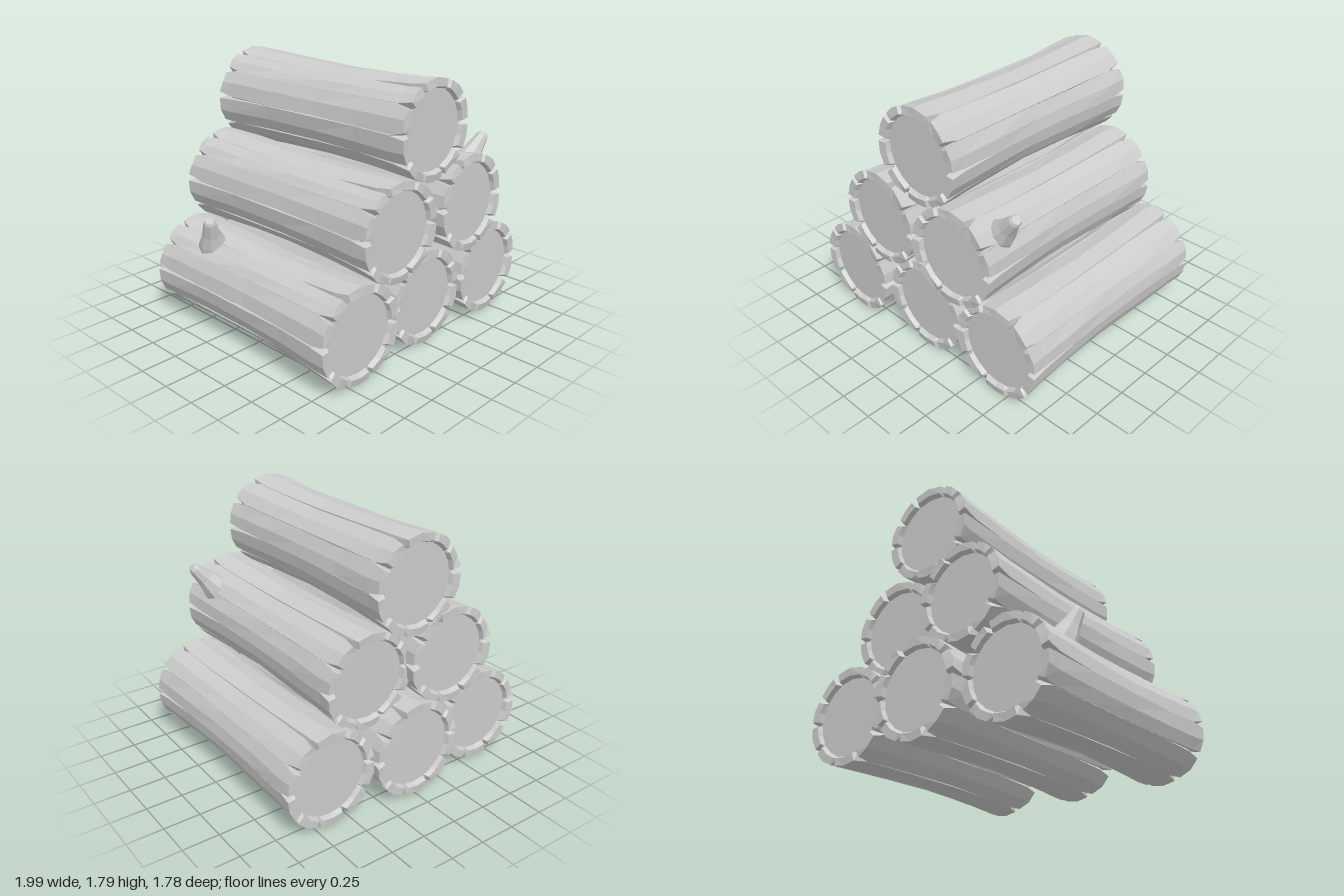
import * as THREE from 'three';

const material = new THREE.MeshStandardMaterial({ color: 0xcccccc, flatShading: true });
const PLATES = 10; // bark plates round each log, one split between neighbours
const SPLITS = [0, 33, 66, 113, 142, 175, 212, 250, 288, 325].map(THREE.MathUtils.degToRad);

// repeatable small variation, -1..1
const vary = (a, b) => {
  const s = Math.sin(a * 12.99 + b * 78.23) * 43758.55;
  return (s - Math.floor(s)) * 2 - 1;
};

// Columns round the log: split floor, lip, plate middle, lip
function columns() {
  const cols = [];
  for (let n = 0; n < PLATES; n++) {
    const a = SPLITS[n];
    const next = n + 1 < PLATES ? SPLITS[n + 1] : SPLITS[0] + Math.PI * 2;
    cols.push({ a, n, kind: 'floor', side: 0 });
    cols.push({ a, n, kind: 'lip', side: 1 });
    cols.push({ a: (a + next) / 2, n, kind: 'middle', side: 0 });
    cols.push({ a: next, n: (n + 1) % PLATES, kind: 'lip', side: -1 });
  }
  return cols;
}

// One log along z: a closed skin from the front disc, over the rim, down the bark to the back disc
function logGeometry(length) {
  const cols = columns();
  const half = length / 2;
  const rings = [];
  const at = (r, a, z) => new THREE.Vector3(r * Math.cos(a), r * Math.sin(a), z);
  const halfAngle = (open) => 0.008 + 0.062 * open;

  const endRings = (dir) => {
    const sunk = dir * (half - 0.04);
    return [
      cols.map(() => at(0, 0, sunk)),
      cols.map((c) => at(0.262, c.a + c.side * 0.05, sunk)),
      cols.map((c) => at(0.275 + 0.006 * vary(c.n, 3), c.a + c.side * 0.06,
        c.kind === 'floor' ? sunk : dir * (half - 0.008))),
    ];
  };

  const barkRing = (t) => cols.map((c) => {
    const d = Math.abs(t);
    const long = (c.n + (t > 0 ? 0 : 1)) % 3 === 0;
    const open = d === 1 ? 1 : d > 0.8 && long ? 0.35 : 0;
    let r = 0.293 + 0.034 * Math.pow(d, 1.6);
    if (d < 1) r += 0.005 * vary(c.n + (c.side < 0 ? 9 : 0), t * 7);
    if (c.kind === 'middle') r += 0.004;
    if (c.kind === 'floor') r -= 0.048 * open;
    // overlapping plate edges towards the back
    if (c.side > 0 && t < 0.2 && t > -0.8) r += 0.008;
    let z = t * half;
    if (d === 1) z -= Math.sign(t) * (c.kind === 'floor' ? 0.04 : 0.012 * (1 + vary(c.n, t + 2)));
    const drift = d === 1 ? 0 : 0.03 * vary(c.n, 5);
    return at(r, c.a + c.side * halfAngle(open) + drift, z);
  });

  rings.push(...endRings(1));
  for (const t of [1, 0.86, 0.5, 0.06, -0.45, -0.86, -1]) rings.push(barkRing(t));
  rings.push(...endRings(-1).reverse());

  const pos = [];
  const tri = (...pts) => pts.forEach((p) => pos.push(p.x, p.y, p.z));
  for (let k = 0; k < rings.length - 1; k++) {
    for (let i = 0; i < cols.length; i++) {
      const j = (i + 1) % cols.length;
      const a = rings[k][i], b = rings[k][j], c = rings[k + 1][j], d = rings[k + 1][i];
      if (k < rings.length - 2) tri(a, d, c);
      if (k > 0) tri(a, c, b);
    }
  }
  const geo = new THREE.BufferGeometry();
  geo.setAttribute('position', new THREE.Float32BufferAttribute(pos, 3));
  geo.computeVertexNormals();
  return geo;
}

function makeLog(name, front, back) {
  const f = new THREE.Vector3(...front), b = new THREE.Vector3(...back);
  const axis = f.clone().sub(b);
  const log = new THREE.Mesh(logGeometry(axis.length()), material);
  log.name = name;
  log.position.copy(f).add(b).multiplyScalar(0.5);
  log.quaternion.setFromUnitVectors(new THREE.Vector3(0, 0, 1), axis.normalize());
  return log;
}

// Broken branch: a flared, eight-sided stub with a blunt tip
function makeStub(name, base, tip) {
  const b = new THREE.Vector3(...base), t = new THREE.Vector3(...tip);
  const axis = t.clone().sub(b);
  const h = axis.length();
  const profile = [[0.105, 0], [0.09, 0.25], [0.062, 0.55], [0.042, 0.93], [0.03, 1], [0, 1]]
    .map(([r, y]) => new THREE.Vector2(r, y * h));
  const stub = new THREE.Mesh(new THREE.LatheGeometry(profile, 8), material);
  stub.name = name;
  stub.position.copy(b);
  stub.quaternion.setFromUnitVectors(new THREE.Vector3(0, 1, 0), axis.normalize());
  return stub;
}

export function createModel() {
  const pile = new THREE.Group();
  pile.name = 'logPile';
  pile.add(
    // bottom row
    makeLog('bottomRightLog', [-0.67, 0.33, 0.85], [-0.63, 0.335, -0.8]),
    makeLog('bottomMiddleLog', [0.005, 0.33, 0.81], [-0.005, 0.335, -0.89]),
    makeLog('bottomLeftLog', [0.67, 0.335, 0.82], [0.635, 0.33, -0.84]),
    // middle row
    makeLog('middleRightLog', [-0.335, 0.895, 0.865], [-0.31, 0.9, -0.84]),
    makeLog('middleLeftLog', [0.355, 0.915, 0.88], [0.295, 0.865, -0.77]),
    // top
    makeLog('topLog', [0.015, 1.455, 0.825], [-0.015, 1.445, -0.835]),
    // branch stubs
    makeStub('leftBranchStub', [0.54, 1.06, 0.645], [0.725, 1.27, 0.68]),
    makeStub('rightBranchStub', [-0.76, 0.55, -0.43], [-0.85, 0.795, -0.345]),
  );
  return pile;
}
